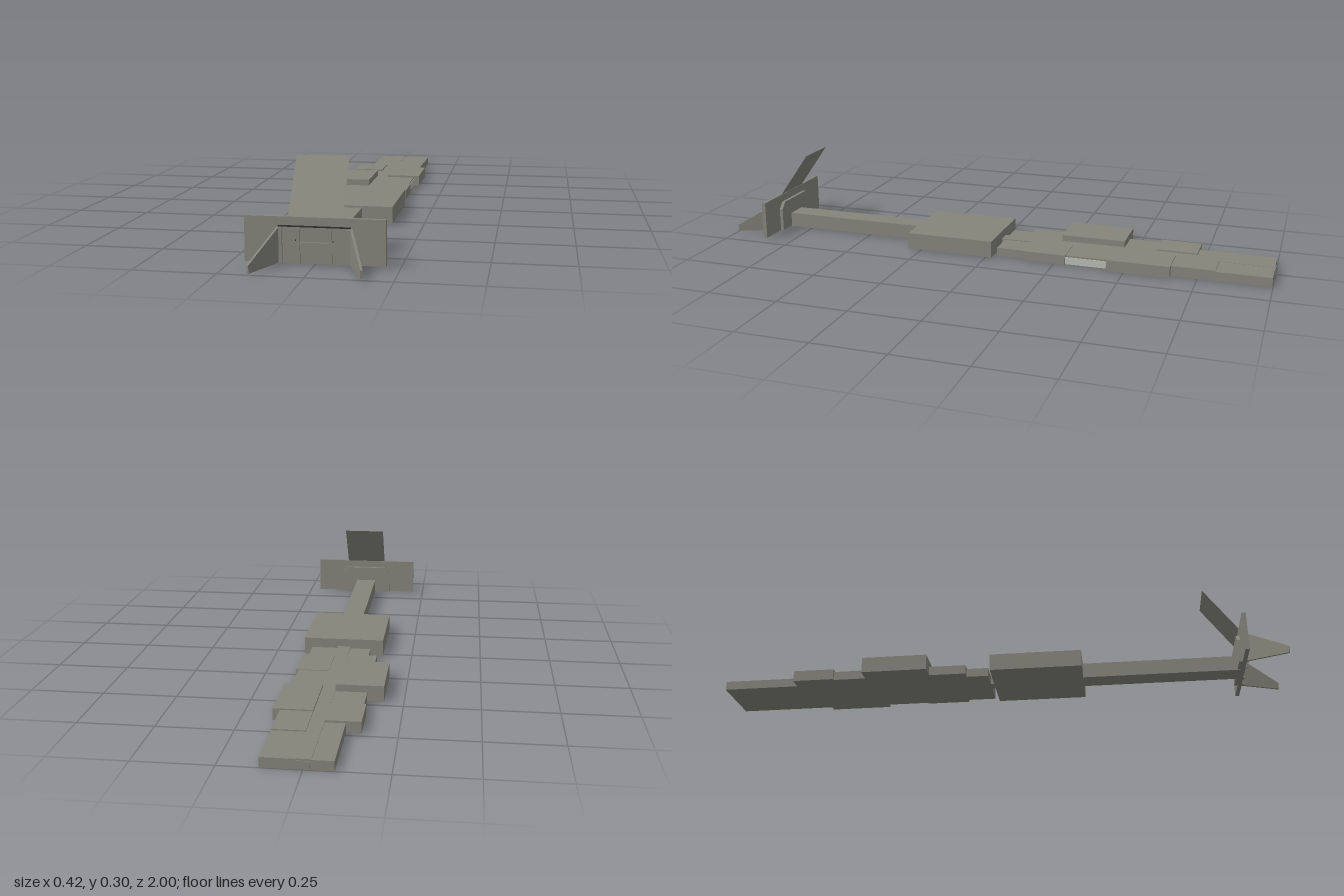
import * as THREE from 'three';

export function createModel() {
  const model = new THREE.Group();
  const grey = new THREE.MeshStandardMaterial({ color: 0x85857b });
  grey.name = 'warmGrey';
  const pale = new THREE.MeshStandardMaterial({ color: 0xb9bcb2 });
  pale.name = 'paleGrey';
  const dark = new THREE.MeshStandardMaterial({ color: 0x2e2e2b });
  dark.name = 'darkTrim';
  const sheet = new THREE.MeshStandardMaterial({ color: 0x85857b, side: THREE.DoubleSide });
  sheet.name = 'warmGreySheet';

  const add = (name, geometry, material = grey) => {
    const mesh = new THREE.Mesh(geometry, material);
    mesh.name = name;
    model.add(mesh);
    return mesh;
  };
  // Box given by its limits on each axis
  const box = (name, x0, x1, y0, y1, z0, z1, material) => {
    const g = new THREE.BoxGeometry(x1 - x0, y1 - y0, z1 - z0);
    g.translate((x0 + x1) / 2, (y0 + y1) / 2, (z0 + z1) / 2);
    return add(name, g, material);
  };
  const outline = (points) => new THREE.Shape(points.map(([x, y]) => new THREE.Vector2(x, y)));

  // Main block and the long beam to the front plate
  box('mainBlock', -0.145, 0.145, 0.005, 0.064, -0.022, 0.298);
  box('beam', -0.04, 0.04, 0.005, 0.058, 0.298, 0.848);

  // Stepped rear deck: spine with tiles on both sides
  box('spine', -0.025, 0.02, 0.003, 0.036, -0.998, -0.022);
  box('spineEnd', -0.02, 0.02, 0.008, 0.03, -1, -0.998);
  const leftTiles = [ // outer x, top y, z range
    [0.125, 0.035, -0.998, -0.81],
    [0.125, 0.039, -0.81, -0.66],
    [0.148, 0.043, -0.66, -0.44],
    [0.125, 0.036, -0.44, -0.29],
    [0.133, 0.038, -0.29, -0.135],
    [0.115, 0.033, -0.135, -0.034],
  ];
  for (const [x, y, z0, z1] of leftTiles) box('leftDeckTile', 0.02, x, 0.003, y, z0, z1);
  const rightTiles = [
    [0.09, 0.034, -0.998, -0.73],
    [0.138, 0.041, -0.73, -0.585],
    [0.13, 0.034, -0.585, -0.47],
    [0.185, 0.058, -0.47, -0.24],
    [0.13, 0.035, -0.24, -0.11],
    [0.1, 0.033, -0.11, -0.034],
  ];
  for (const [x, y, z0, z1] of rightTiles) box('rightDeckTile', -x, -0.025, 0.003, y, z0, z1);
  box('paleSidePanel', 0.125, 0.127, 0.004, 0.03, -0.44, -0.29, pale);

  // Upright front plate with a chamfered backing panel
  box('frontPlate', -0.208, 0.208, 0.007, 0.143, 0.848, 0.862);
  const backing = new THREE.ExtrudeGeometry(outline([
    [-0.105, 0.007], [0.105, 0.007], [0.105, 0.09], [0.082, 0.115], [-0.082, 0.115], [-0.105, 0.09],
  ]), { depth: 0.012, bevelEnabled: false });
  add('backingPanel', backing).position.z = 0.836;

  // Frame on the front face
  box('frameTop', -0.107, 0.107, 0.115, 0.118, 0.862, 0.87, dark);
  box('frameCrossbar', -0.042, 0.042, 0.061, 0.07, 0.862, 0.868);
  for (const s of [-1, 1]) {
    for (const x of [0.047, 0.1]) {
      box('framePost', s * x - 0.005, s * x + 0.005, 0.007, 0.111, 0.862, 0.868);
    }
    box('frameStud', s * 0.055 - 0.0015, s * 0.055 + 0.0015, 0.073, 0.077, 0.862, 0.865, dark);
  }

  // Splayed tapering side wings
  for (const s of [-1, 1]) {
    const g = new THREE.ExtrudeGeometry(outline([
      [0, 0.007], [0.147, 0.007], [0.147, 0.031], [0, 0.114],
    ]), { depth: 0.007, bevelEnabled: false });
    g.translate(0, 0, -0.0035);
    g.rotateY(-Math.atan2(0.135, s * 0.053));
    g.translate(s * 0.107, 0, 0.862);
    add(s > 0 ? 'leftWing' : 'rightWing', g);
  }

  // Thin panel leaning back from the top of the plate
  const rise = 0.16, lean = 0.115;
  const panel = new THREE.PlaneGeometry(0.16, Math.hypot(rise, lean));
  panel.rotateX(-Math.atan2(lean, rise));
  panel.translate(0, 0.143 + rise / 2, 0.85 - lean / 2);
  add('leaningPanel', panel, sheet);

  return model;
}
